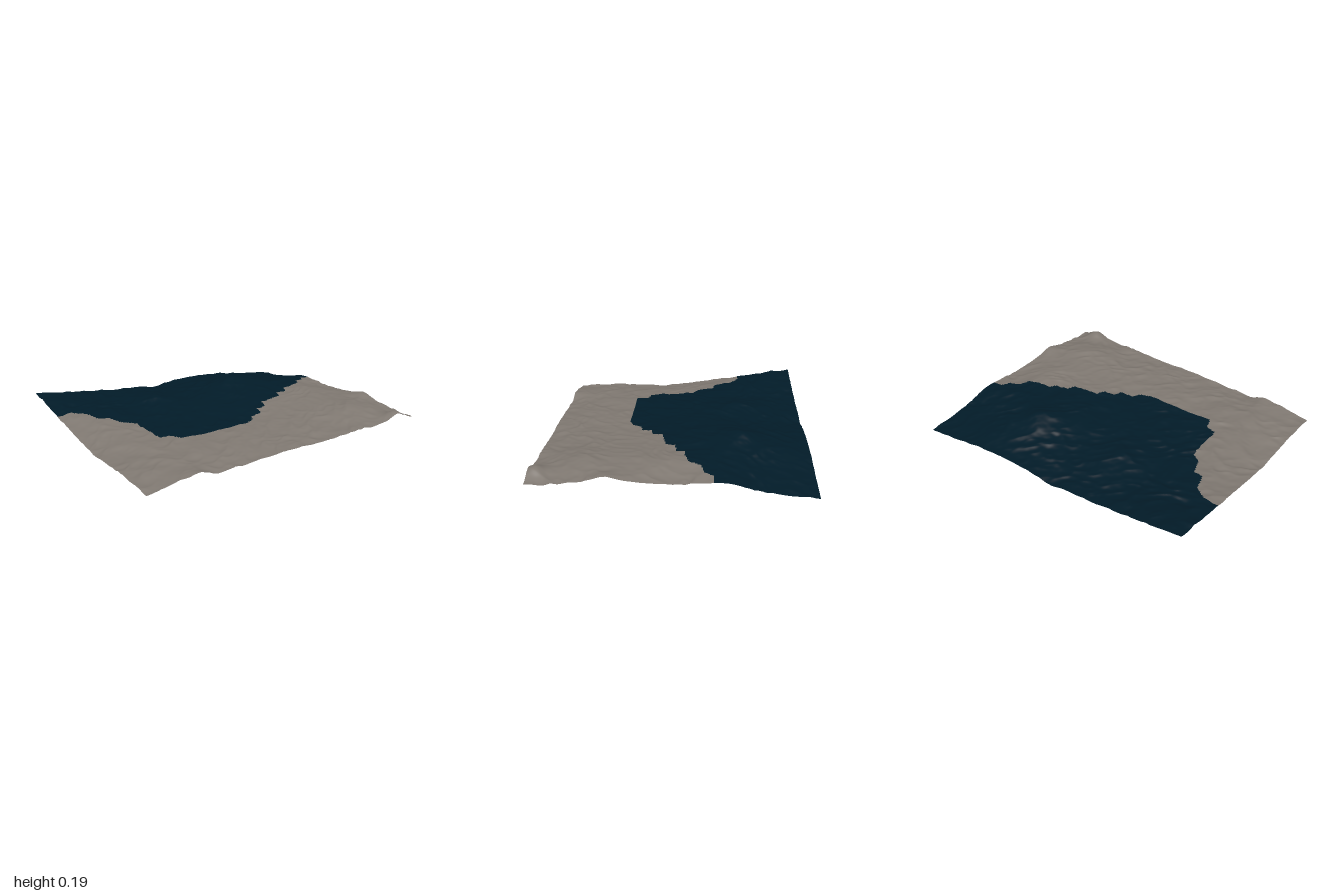
import * as THREE from 'three';

const HALF_X = 1, HALF_Z = 0.84, NX = 250, NZ = 210;

// Broad heights: rows run back to front, columns from -x to +x
const HEIGHTS = [
  [0.165, 0.135, 0.11, 0.092, 0.085, 0.106, 0.1, 0.074, 0.047],
  [0.126, 0.12, 0.1, 0.118, 0.105, 0.13, 0.142, 0.104, 0.072],
  [0.077, 0.1, 0.094, 0.114, 0.114, 0.144, 0.15, 0.14, 0.13],
  [0.033, 0.078, 0.088, 0.093, 0.103, 0.124, 0.138, 0.148, 0.114],
  [0.014, 0.06, 0.078, 0.084, 0.089, 0.104, 0.124, 0.142, 0.125],
  [0.022, 0.054, 0.063, 0.074, 0.084, 0.094, 0.114, 0.144, 0.11],
  [0.005, 0.045, 0.036, 0.053, 0.068, 0.069, 0.087, 0.094, 0.09],
];

// Separate rises: x, z, height, width
const HILLS = [
  [0.37, -0.4, 0.042, 0.12], [0.87, 0.82, 0.05, 0.08], [1, 0.4, 0.032, 0.1],
  [-0.27, -0.42, 0.018, 0.12], [-0.65, 0.84, 0.016, 0.08], [-0.06, -0.84, -0.015, 0.07],
];

// Stepped border between the two grounds, as [x, z]; the dark side lies behind it
const BORDER = [
  [-1, -0.43], [-0.9, -0.43], [-0.86, -0.4], [-0.82, -0.37], [-0.785, -0.25], [-0.715, -0.235],
  [-0.68, -0.12], [-0.62, -0.08], [-0.605, 0], [-0.595, 0.235], [-0.52, 0.255], [-0.495, 0.335],
  [0, 0.335], [0.07, 0.305], [0.1, 0.25], [0.19, 0.235], [0.2, 0.17], [0.28, 0.16],
  [0.3, 0.09], [0.38, 0.08], [0.48, 0.06], [0.5, 0], [0.59, -0.01], [0.61, -0.06],
  [0.7, -0.07], [0.78, -0.1], [0.8, -0.16], [0.89, -0.19], [0.92, -0.24], [1, -0.24],
];

function borderZ(x) {
  let i = 1;
  while (i < BORDER.length - 1 && BORDER[i][0] < x) i++;
  const [x0, z0] = BORDER[i - 1], [x1, z1] = BORDER[i];
  return z0 + (z1 - z0) * (x - x0) / (x1 - x0);
}

// Smooth curve through evenly spaced values, t from 0 to 1
function spline(values, t) {
  const n = values.length - 1;
  const i = Math.min(Math.floor(t * n), n - 1), f = t * n - i;
  const p = k => values[Math.max(0, Math.min(n, k))];
  const a = p(i - 1), b = p(i), c = p(i + 1), d = p(i + 2);
  return b + 0.5 * f * (c - a + f * (2 * a - 5 * b + 4 * c - d + f * (3 * (b - c) + d - a)));
}

// Seeded value noise, -1 to 1
function hash(i, j) {
  let h = (Math.imul(i, 374761393) + Math.imul(j, 668265263) + 1013) | 0;
  h = Math.imul(h ^ (h >>> 13), 1274126177);
  return ((h ^ (h >>> 16)) >>> 0) / 2147483648 - 1;
}
function noise(x, y) {
  const i = Math.floor(x), j = Math.floor(y);
  const s = t => t * t * (3 - 2 * t);
  const u = s(x - i), v = s(y - j), mix = THREE.MathUtils.lerp;
  return mix(mix(hash(i, j), hash(i + 1, j), u), mix(hash(i, j + 1), hash(i + 1, j + 1), u), v);
}

function heightAt(x, z) {
  const u = (x + HALF_X) / (2 * HALF_X), v = (z + HALF_Z) / (2 * HALF_Z);
  let y = spline(HEIGHTS.map(row => spline(row, u)), v);
  for (const [hx, hz, height, width] of HILLS) {
    y += height * Math.exp(-((x - hx) ** 2 + (z - hz) ** 2) / width ** 2);
  }
  // Short creases running loosely along the diagonal, bent by a slower noise
  const bend = 0.06 * noise(x * 5 + 7, z * 5);
  const along = (x - z) * 0.7 + bend, across = (x + z) * 0.7 - bend;
  const ridge = (a, b) => 0.35 - Math.abs(noise(a, b));
  return y + 0.009 * ridge(along * 6, across * 9)
    + 0.007 * ridge(along * 11 + 31, across * 15)
    + 0.002 * noise(along * 20, across * 26 + 11)
    + 0.0008 * noise(x * 45, z * 45);
}

export function createModel() {
  const group = new THREE.Group();
  group.name = 'terrain';

  // One smooth sheet of vertices shared by both grounds
  const sheet = new THREE.PlaneGeometry(2 * HALF_X, 2 * HALF_Z, NX, NZ);
  sheet.rotateX(-Math.PI / 2);
  const pos = sheet.attributes.position;
  for (let i = 0; i < pos.count; i++) {
    pos.setY(i, Math.max(0, heightAt(pos.getX(i), pos.getZ(i))));
  }
  sheet.computeVertexNormals();

  // Sort the cells by the side of the border they lie on
  const dark = [], pale = [], index = sheet.index.array;
  for (let cell = 0; cell < NX * NZ; cell++) {
    const x = -HALF_X + (cell % NX + 0.5) * 2 * HALF_X / NX;
    const z = -HALF_Z + (Math.floor(cell / NX) + 0.5) * 2 * HALF_Z / NZ;
    (z < borderZ(x) ? dark : pale).push(...index.slice(cell * 6, cell * 6 + 6));
  }

  const addGround = (name, cells, materialName, color) => {
    const geometry = sheet.clone().setIndex(cells);
    const material = new THREE.MeshStandardMaterial({ color, side: THREE.DoubleSide });
    material.name = materialName;
    const mesh = new THREE.Mesh(geometry, material);
    mesh.name = name;
    group.add(mesh);
  };
  addGround('waterBasin', dark, 'deep blue', 0x021b28);
  addGround('rockyGround', pale, 'stone grey', 0x7f7871);
  return group;
}
